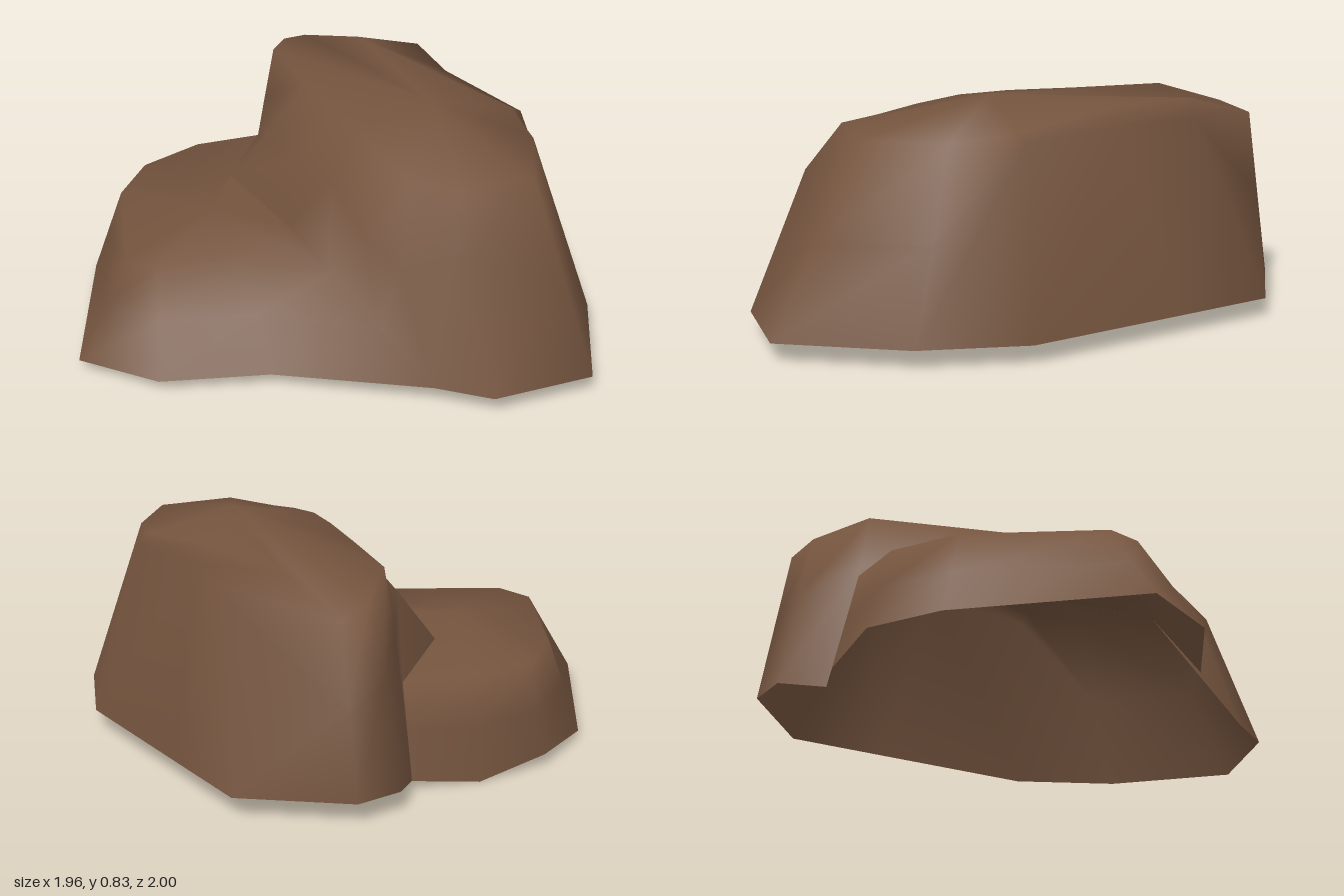
import * as THREE from 'three';
import { mergeVertices } from 'three/addons/utils/BufferGeometryUtils.js';

// Adds one open-bottomed dome: columns of [rim, middle, shoulder] points run
// clockwise seen from above, and a fan closes the crown. A column of two gets
// its middle halfway; a column of one is a point where the wall shrinks away.
function addDome(pos, index, columns, crown) {
  const n = columns.length, start = pos.length / 3;
  for (const column of columns) {
    const rim = column[0], top = column[column.length - 1];
    const mid = column.length === 3 ? column[1] : rim.map((v, i) => (v + top[i]) / 2);
    pos.push(...rim, ...mid, ...top);
  }
  pos.push(...crown);
  for (let i = 0; i < n; i++) {
    const a = start + i * 3, b = start + ((i + 1) % n) * 3;
    for (let k = 0; k < 2; k++) {
      index.push(b + k, a + k, a + k + 1, b + k, a + k + 1, b + k + 1);
    }
    index.push(b + 2, a + 2, start + n * 3);
  }
}

// A hair's breadth under the tall dome, so the seam there stays a sharp crease
const tuck = ([x, y, z]) => [x + 0.004, y, z];

export function createModel() {
  const group = new THREE.Group();
  group.name = 'rocks';
  const brown = new THREE.MeshStandardMaterial({ color: 0x74543e, side: THREE.DoubleSide });
  brown.name = 'brown rock';
  const pos = [], index = [];

  // Seam shared by the two domes, from the front rim over the top to the back rim
  const seamFrontRim = [0.14, 0.07, 0.86];
  const seamFrontMid = [0.02, 0.22, 0.67];
  const seamFront = [-0.1, 0.375, 0.44];
  const seamMiddle = [-0.13, 0.39, 0.1];
  const seamRear = [-0.2, 0.4, -0.35];
  const seamBack = [0.04, 0.37, -0.69];
  const seamBackRim = [0.03, 0.03, -0.77];

  // Tall dome on the left
  const backMid = [0.06, 0.55, -0.66], backTop = [0.09, 0.775, -0.63];
  addDome(pos, index, [
    [[0.7, 0.07, 1], [0.6, 0.725, 0.66]],
    [[0.31, 0.07, 1], [0.25, 0.56, 0.78], [0.32, 0.735, 0.66]],
    [seamFrontRim, [0.08, 0.48, 0.68], [0.18, 0.73, 0.5]],
    [seamFrontMid, [0.01, 0.53, 0.5], [0.14, 0.755, 0.34]],
    [seamFront, [-0.015, 0.64, 0.26], [0.11, 0.775, 0.17]],
    [seamMiddle, [-0.05, 0.61, 0], [0.1, 0.78, -0.02]],
    [seamRear, [-0.08, 0.57, -0.28], [0.09, 0.775, -0.28]],
    [seamBack, backMid, backTop],
    [seamBackRim, backMid, backTop],
    [[0.13, 0.07, -0.94], [0.17, 0.45, -0.88], [0.21, 0.72, -0.83]],
    [[0.3, 0.07, -1], [0.33, 0.69, -0.9]],
    [[0.69, 0.07, -0.82], [0.68, 0.745, -0.53], [0.45, 0.78, -0.61]],
    [[0.8, 0.07, -0.45], [0.68, 0.74, -0.26], [0.57, 0.785, -0.24]],
    [[0.98, 0.07, 0.16], [0.81, 0.72, 0.14], [0.76, 0.75, 0.15]],
    [[0.92, 0.07, 0.56], [0.74, 0.73, 0.38]],
  ], [0.43, 0.83, 0.15]);

  // Low dome on the right
  addDome(pos, index, [
    [[-0.73, 0.025, -0.48], [-0.63, 0.37, -0.41]],
    [[-0.5, 0.04, -0.7], [-0.47, 0.36, -0.62]],
    [[-0.22, 0, -0.78], [-0.22, 0.37, -0.7]],
    [tuck(seamBackRim), tuck(seamBack)],
    [tuck(seamBack)],
    [tuck(seamRear)],
    [tuck(seamMiddle)],
    [seamFront],
    [seamFrontRim, seamFrontMid, seamFront],
    [[-0.36, 0.05, 0.54], [-0.35, 0.4, 0.28]],
    [[-0.75, 0.045, 0.43], [-0.68, 0.39, 0.22]],
    [[-0.98, 0.045, 0.19], [-0.76, 0.38, 0.1]],
  ], [-0.36, 0.41, -0.1]);

  // Weld the front of both domes so the shading flows across it
  const raw = new THREE.BufferGeometry();
  raw.setAttribute('position', new THREE.Float32BufferAttribute(pos, 3));
  raw.setIndex(index);
  const geometry = mergeVertices(raw, 0.001);
  geometry.computeVertexNormals();
  const boulder = new THREE.Mesh(geometry, brown);
  boulder.name = 'boulder';
  group.add(boulder);
  return group;
}
